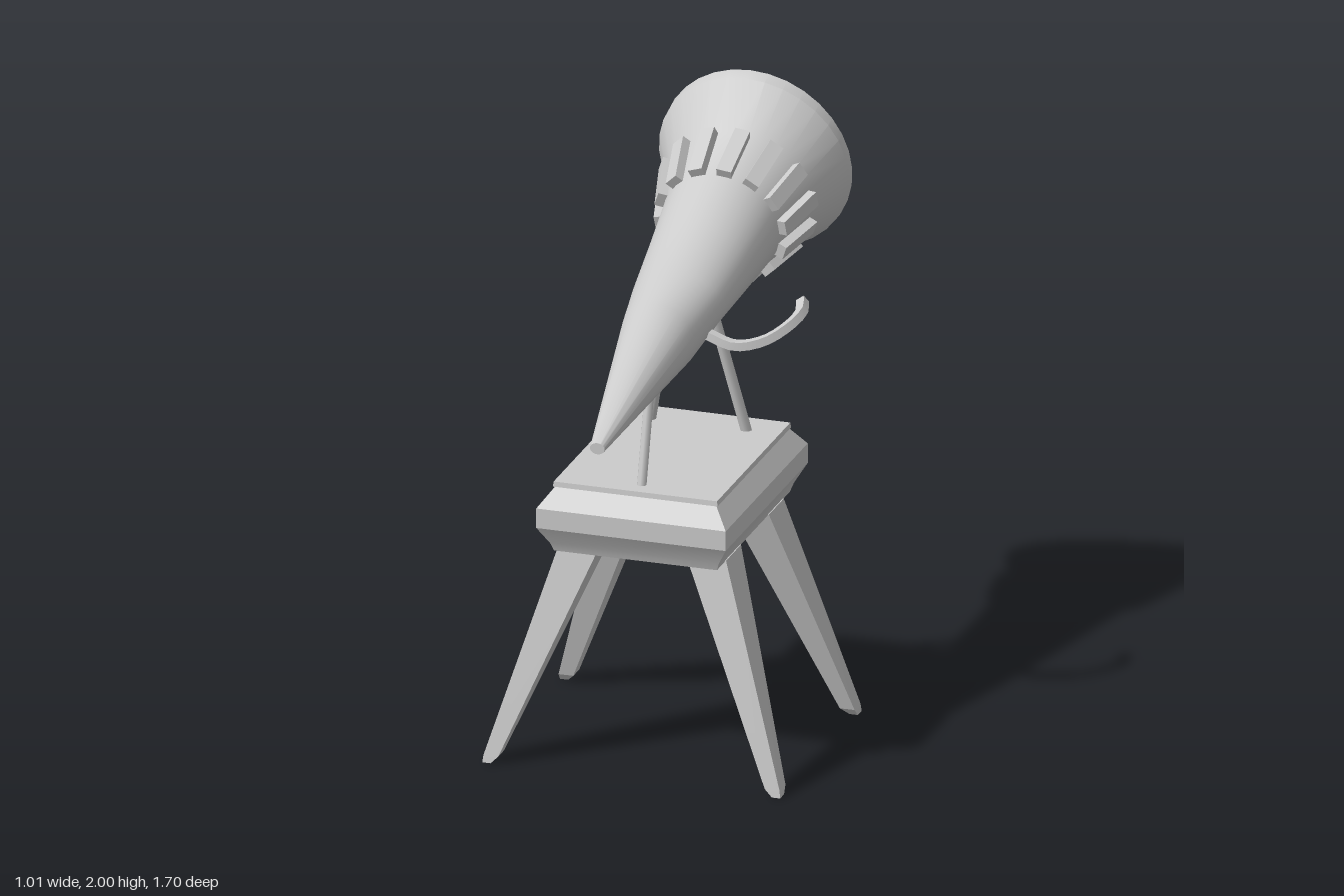
import * as THREE from 'three';
import { toCreasedNormals } from 'three/addons/utils/BufferGeometryUtils.js';

const V = (x, y, z) => new THREE.Vector3(x, y, z);
const material = new THREE.MeshStandardMaterial({ color: 0xcccccc });

// Skin closed rings (counter-clockwise about the direction of travel) and cap both ends
function loft(rings, crease) {
  const pos = [];
  const tri = (...points) => points.forEach((p) => pos.push(p.x, p.y, p.z));
  const n = rings[0].length;
  const centre = (ring) => ring.reduce((sum, p) => sum.add(p), V(0, 0, 0)).divideScalar(n);
  const last = rings[rings.length - 1];
  const c0 = centre(rings[0]), c1 = centre(last);
  for (let j = 0; j < n; j++) {
    const k = (j + 1) % n;
    tri(c0, rings[0][k], rings[0][j]);
    tri(c1, last[j], last[k]);
    for (let i = 0; i + 1 < rings.length; i++) {
      const a = rings[i], b = rings[i + 1];
      tri(a[j], a[k], b[k]);
      tri(a[j], b[k], b[j]);
    }
  }
  const geometry = new THREE.BufferGeometry();
  geometry.setAttribute('position', new THREE.Float32BufferAttribute(pos, 3));
  return toCreasedNormals(geometry, crease);
}

// Horizontal rectangle ring
const rect = (x0, x1, z0, z1, y) => [V(x1, y, z1), V(x1, y, z0), V(x0, y, z0), V(x0, y, z1)];

// Horn sections: top z, top y, bottom z, bottom y, half width
const SECTIONS = [
  [0.85, 1.283, 0.85, 1.245, 0.025],
  [0.264, 1.545, 0.21, 1.295, 0.125],
  [0.07, 1.585, 0.0, 1.355, 0.155],
  [-0.14, 1.667, -0.20, 1.37, 0.175],
  [-0.34, 1.762, -0.43, 1.385, 0.195],
  [-0.52, 1.845, -0.635, 1.39, 0.245],
  [-0.645, 1.985, -0.80, 1.355, 0.32],
  [-0.685, 2.0, -0.83, 1.352, 0.32],
  [-0.72, 1.965, -0.85, 1.38, 0.30],
  [-0.731, 1.916, -0.839, 1.428, 0.25],
  [-0.681, 1.904, -0.789, 1.416, 0.25],
];

function hornPoint([zt, yt, zb, yb, rx], angle) {
  const t = (1 - Math.cos(angle)) / 2;
  return V(rx * Math.sin(angle), THREE.MathUtils.lerp(yt, yb, t), THREE.MathUtils.lerp(zt, zb, t));
}

export function createModel() {
  const model = new THREE.Group();
  const add = (name, geometry, parent = model) => {
    const mesh = new THREE.Mesh(geometry, material);
    mesh.name = name;
    parent.add(mesh);
    return mesh;
  };
  const group = (name) => {
    const g = new THREE.Group();
    g.name = name;
    model.add(g);
    return g;
  };

  // Horn with flared rim and recessed end disc
  const sides = 32;
  add('horn', loft(SECTIONS.map((s) =>
    Array.from({ length: sides }, (_, j) => hornPoint(s, (j / sides) * Math.PI * 2))), Math.PI / 6));

  // Ring of slats around the neck of the flare
  const slats = group('slats');
  const count = 14;
  for (let i = 0; i < count; i++) {
    const angle = 0.13 + (i / count) * Math.PI * 2;
    const a = hornPoint(SECTIONS[4], angle), b = hornPoint(SECTIONS[5], angle);
    const along = b.clone().sub(a).normalize();
    const side = hornPoint(SECTIONS[4], angle + 0.05).sub(hornPoint(SECTIONS[4], angle - 0.05));
    side.addScaledVector(along, -side.dot(along)).normalize();
    const out = V(0, 0, 0).crossVectors(side, along);
    const slat = add('slat', new THREE.BoxGeometry(0.05, 0.05, 0.19), slats);
    slat.quaternion.setFromRotationMatrix(new THREE.Matrix4().makeBasis(side, out, along.clone().negate()));
    slat.position.copy(a).lerp(b, 0.5).addScaledVector(out, 0.003);
    if (out.dot(V(Math.sin(angle), Math.cos(angle), 0)) < 0) slat.position.addScaledVector(out, -0.006);
  }

  // Curved side handle
  const path = new THREE.CatmullRomCurve3([
    V(0.12, 1.405, 0.115), V(0.22, 1.38, 0.125), V(0.31, 1.40, 0.11),
    V(0.37, 1.435, 0.07), V(0.402, 1.468, 0), V(0.385, 1.483, -0.065),
  ]);
  const w = 0.016, h = 0.014;
  const section = new THREE.Shape([[-w, -h], [w, -h], [w, h], [-w, h]].map(([x, y]) => new THREE.Vector2(x, y)));
  add('handle', toCreasedNormals(
    new THREE.ExtrudeGeometry(section, { steps: 14, extrudePath: path, bevelEnabled: false }), Math.PI / 6));

  // Three posts carrying the horn
  const posts = group('posts');
  const post = (name, from, to, radius) => {
    const mesh = add(name, new THREE.CylinderGeometry(radius, radius, from.distanceTo(to), 8), posts);
    mesh.position.copy(from).lerp(to, 0.5);
    mesh.quaternion.setFromUnitVectors(V(0, 1, 0), to.clone().sub(from).normalize());
  };
  post('frontPost', V(0, 0.97, 0.405), V(0, 1.33, 0.31), 0.016);
  for (const s of [-1, 1]) post('backPost', V(s * 0.163, 0.97, -0.165), V(s * 0.07, 1.42, -0.085), 0.019);

  // Table top: bevelled body and thin slab, as [inset, height]
  const slab = (profile) => loft(profile.map(([inset, y]) =>
    rect(-0.32 + inset, 0.32 - inset, -0.312 + inset, 0.512 - inset, y)), 0.3);
  add('tableBody', slab([[0.045, 0.74], [0.035, 0.768], [0, 0.828], [0, 0.895], [0.05, 0.962]]));
  add('tableSlab', slab([[0.042, 0.96], [0.044, 0.977]]));

  // Splayed tapering legs, mirrored about the table centre
  const legs = group('legs');
  for (const sx of [-1, 1]) for (const sz of [-1, 1]) {
    const rings = [
      rect(0.475, 0.503, 0.37, 0.41, 0),
      rect(0.45, 0.5, 0.347, 0.407, 0.025),
      rect(0.145, 0.28, 0.14, 0.29, 0.745),
    ].map((ring) => {
      const r = ring.map((p) => V(p.x * sx, p.y, p.z * sz + 0.1));
      return sx * sz < 0 ? r.reverse() : r;
    });
    add('leg', loft(rings, 0.3), legs);
  }
  return model;
}
